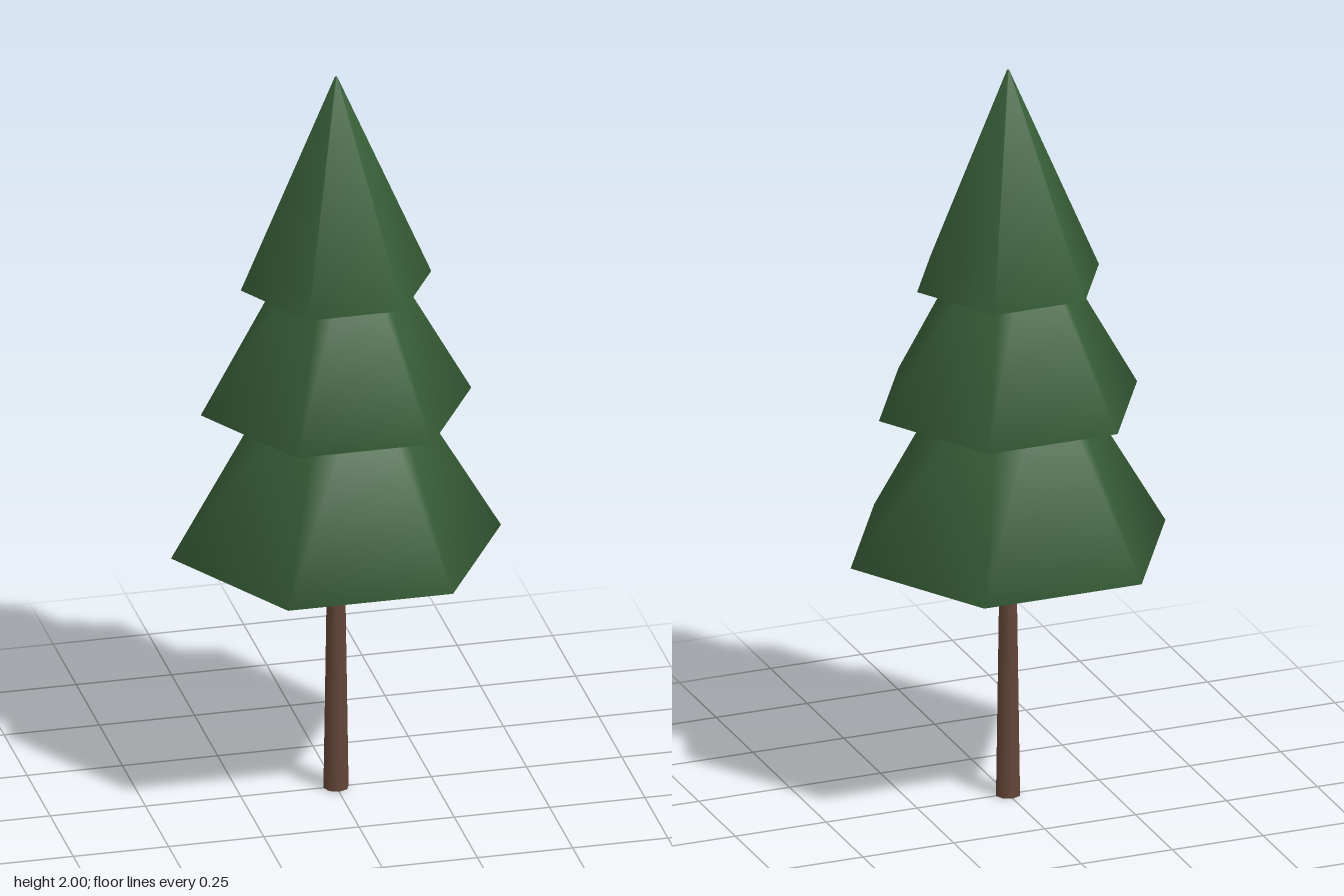
import * as THREE from 'three';
import { mergeVertices } from 'three/addons/utils/BufferGeometryUtils.js';

const needles = new THREE.MeshStandardMaterial({ color: 0x3c653c });
needles.name = 'needleGreen';
const bark = new THREE.MeshStandardMaterial({ color: 0x654638 });
bark.name = 'barkBrown';

// Closed tapered prism whose corners share smooth normals, caps included
function taper(name, material, sides, rBottom, rTop, y0, y1) {
  let geo = new THREE.CylinderGeometry(rTop, rBottom, y1 - y0, sides, 1, false, Math.PI / 2);
  geo.deleteAttribute('normal');
  geo.deleteAttribute('uv');
  geo = mergeVertices(geo, 1e-4);
  geo.translate(0, (y0 + y1) / 2, 0);
  geo.computeVertexNormals();
  const mesh = new THREE.Mesh(geo, material);
  mesh.name = name;
  return mesh;
}

export function createModel() {
  const tree = new THREE.Group();
  tree.name = 'pineTree';

  // Slim trunk, ending just inside the lowest tier
  tree.add(taper('trunk', bark, 8, 0.033, 0.022, 0, 0.72));

  // Three overlapping six-sided tiers: [name, bottom radius, top radius, bottom y, top y]
  const tiers = [
    ['lowerFoliage', 0.433, 0.121, 0.69, 1.225],
    ['middleFoliage', 0.355, 0.071, 1.085, 1.593],
    ['upperFoliage', 0.25, 0.003, 1.425, 2],
  ];
  for (const [name, rBottom, rTop, y0, y1] of tiers) {
    tree.add(taper(name, needles, 6, rBottom, rTop, y0, y1));
  }
  return tree;
}
